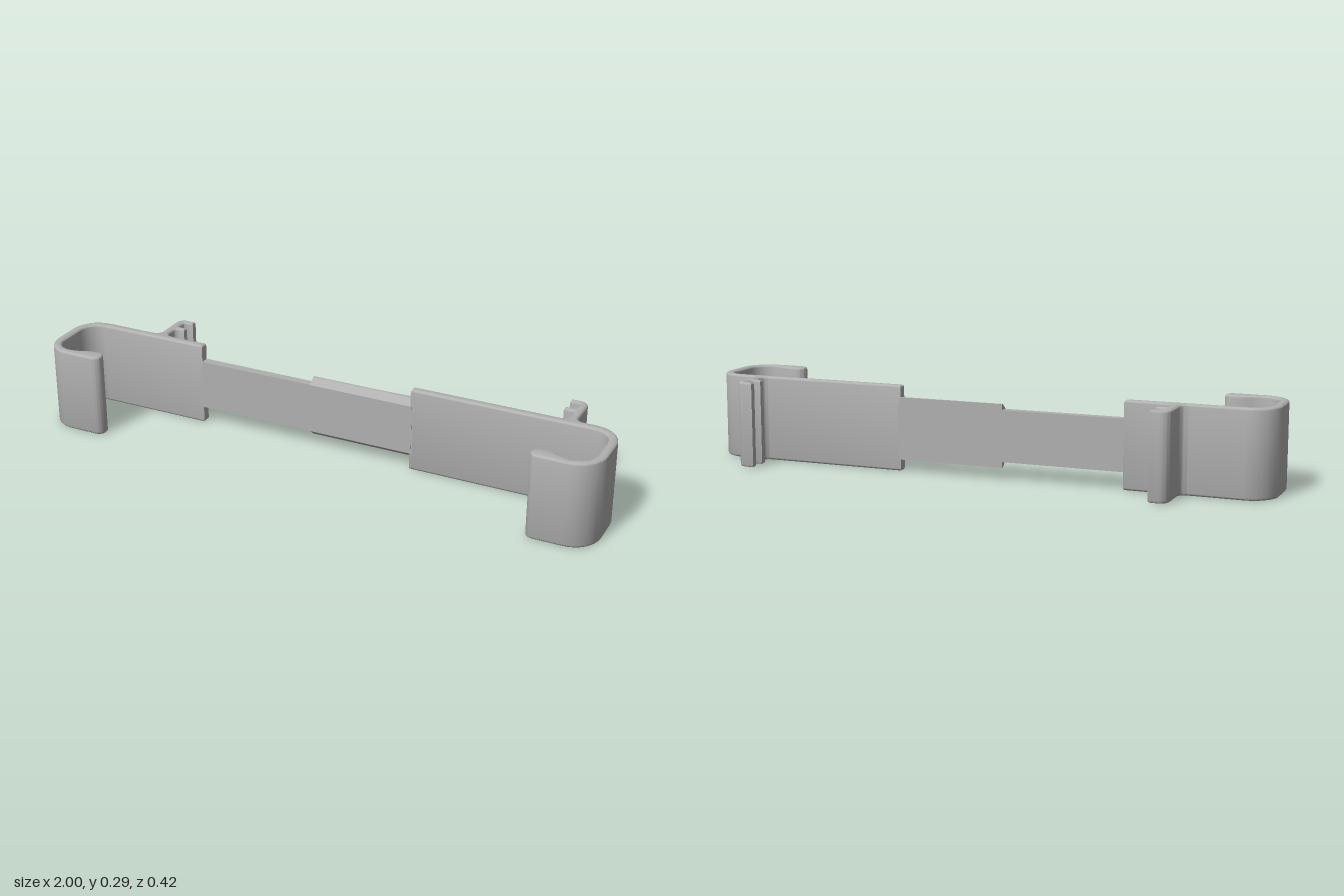
import * as THREE from 'three';
import { toCreasedNormals } from 'three/addons/utils/BufferGeometryUtils.js';

const HEIGHT = 0.295;

// Closed outline from [x, y, cut] corners; cut is the distance rounded off on each side
function roundedShape(corners, side = 1) {
  const pts = corners.map(([x, y]) => new THREE.Vector2(x * side, y));
  const n = pts.length;
  const shape = new THREE.Shape();
  pts.forEach((p, i) => {
    const cut = corners[i][2] || 0;
    const toward = (q, d) => p.clone().add(q.clone().sub(p).setLength(d));
    const prev = pts[(i + n - 1) % n], next = pts[(i + 1) % n];
    const a = cut ? toward(prev, cut) : p;
    if (i === 0) shape.moveTo(a.x, a.y);
    else shape.lineTo(a.x, a.y);
    if (cut) {
      const b = toward(next, cut);
      const c1 = toward(prev, cut * 0.45), c2 = toward(next, cut * 0.45);
      shape.bezierCurveTo(c1.x, c1.y, c2.x, c2.y, b.x, b.y);
    }
  });
  shape.closePath();
  return shape;
}

// Raise a plan outline (x, -z) from y0 to y1, with softened top and bottom rims
function raise(shape, y0, y1, bevel) {
  const geo = new THREE.ExtrudeGeometry(shape, {
    depth: y1 - y0 - 2 * bevel, curveSegments: 8, bevelEnabled: bevel > 0,
    bevelThickness: bevel, bevelSize: bevel, bevelOffset: -bevel, bevelSegments: 3,
  });
  geo.translate(0, 0, y0 + bevel);
  geo.rotateX(-Math.PI / 2);
  return toCreasedNormals(geo, 0.6);
}

// Plan outline of one end: plate, front hook with thick lip, rear two-finned catch
function clipShape(side, inner, stem) {
  const tip = stem - 0.063, web = stem - 0.028;
  return roundedShape([
    [inner, 0.04],
    [0.97, 0.04, 0.065], [0.97, -0.18, 0.062], [0.885, -0.18, 0.022],
    [0.83, -0.156, 0.024], [0.777, -0.156, 0.025], [0.777, -0.21, 0.026],
    [1, -0.21, 0.095], [1, 0.07, 0.095],
    [stem, 0.07, 0.025], [stem, 0.214, 0.032],
    [tip, 0.214], [tip, 0.194], [web, 0.194, 0.012],
    [web, 0.153, 0.012], [tip, 0.153], [tip, 0.133],
    [web, 0.133, 0.014], [web, 0.07, 0.025],
    [inner, 0.07],
  ], side);
}

export function createModel() {
  const group = new THREE.Group();
  const grey = new THREE.MeshStandardMaterial({ color: 0xb0b0b0 });
  grey.name = 'grey plastic';
  const add = (name, geo) => {
    const mesh = new THREE.Mesh(geo, grey);
    mesh.name = name;
    group.add(mesh);
    return mesh;
  };

  // End clips
  add('leftClip', raise(clipShape(1, 0.28, 0.837), 0, HEIGHT, 0.008));
  add('rightClip', raise(clipShape(-1, 0.51, 0.7), 0, HEIGHT, 0.008));

  // Narrow strip joining the clips
  const strip = new THREE.BoxGeometry(0.81, 0.175, 0.03);
  add('centreStrip', strip).position.set(-0.115, 0.1475, -0.055);

  // Sleeve with sloped upper and lower edges, drawn as (z, y) and run along x
  const section = roundedShape([
    [-0.039, 0.06], [-0.039, 0.235], [-0.063, 0.255],
    [-0.071, 0.255], [-0.071, 0.04], [-0.063, 0.04],
  ], -1);
  const sleeve = new THREE.ExtrudeGeometry(section, { depth: 0.375, bevelEnabled: false });
  sleeve.rotateY(Math.PI / 2);
  add('sleeve', sleeve).position.x = -0.09;

  // Shallow locking ramp on the back of the sleeve
  const ramp = roundedShape([[0.12, 0.0705], [0.28, 0.0705], [0.28, 0.075]]);
  add('lockingRamp', raise(ramp, 0.15, 0.255, 0));

  return group;
}
